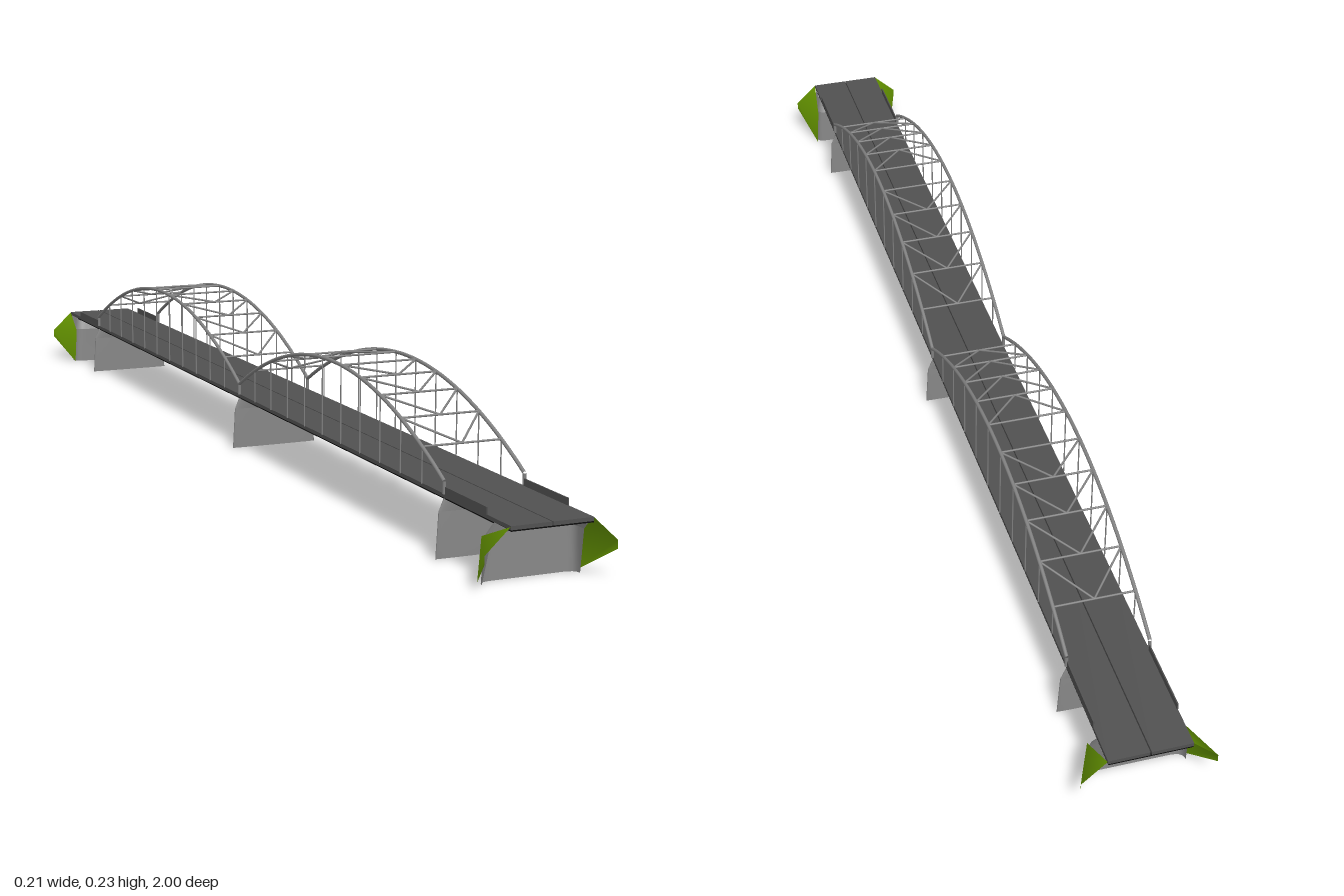
import * as THREE from 'three';

const mat = (name, color, side = THREE.FrontSide) => {
  const m = new THREE.MeshStandardMaterial({ color, side });
  m.name = name;
  return m;
};

// Skin a surface over rows of points; closed joins the last column to the first.
function loft(rows, closed) {
  const n = rows[0].length, index = [];
  for (let r = 0; r < rows.length - 1; r++) {
    for (let i = 0; i < (closed ? n : n - 1); i++) {
      const a = r * n + i, b = r * n + (i + 1) % n;
      index.push(a, a + n, b, b, a + n, b + n);
    }
  }
  const g = new THREE.BufferGeometry();
  g.setAttribute('position', new THREE.Float32BufferAttribute(rows.flat(2), 3));
  g.setIndex(index);
  g.computeVertexNormals();
  return g;
}

export function createModel() {
  const model = new THREE.Group();
  model.name = 'doubleArchBridge';
  const road = mat('road grey', 0x515151);
  const dark = mat('dark underside', 0x0c0c0c);
  const steel = mat('steel', 0x808080);
  const concrete = mat('concrete', 0x888888, THREE.DoubleSide);
  const grass = mat('grass', 0x649300, THREE.DoubleSide);

  const add = (name, geometry, material, parent = model) => {
    const m = new THREE.Mesh(geometry, material);
    m.name = name;
    parent.add(m);
    return m;
  };
  const box = (name, w, h, d, x, y, z, material) =>
    add(name, new THREE.BoxGeometry(w, h, d), material).position.set(x, y, z);
  const beam = (name, a, b, r, parent) => {
    const p = new THREE.Vector3(...a), q = new THREE.Vector3(...b);
    const m = add(name, new THREE.CylinderGeometry(r, r, p.distanceTo(q), 16, 1, true), steel, parent);
    m.position.copy(p).add(q).multiplyScalar(0.5);
    m.quaternion.setFromUnitVectors(new THREE.Vector3(0, 1, 0), q.sub(p).normalize());
  };

  // Deck: two carriageways of panels with a narrow gap between them
  const joints = [-1, -0.645, -0.37, 0, 0.37, 0.645, 1];
  for (const s of [-1, 1]) {
    for (let i = 0; i < joints.length - 1; i++) {
      const a = joints[i], b = joints[i + 1];
      box('deckPanel', 0.0655, 0.006, b - a, s * 0.03375, 0.095, (a + b) / 2, road);
    }
    for (const e of [-1, 1])
      box('approachParapet', 0.002, 0.012, 0.13, s * 0.066, 0.103, e * 0.865, road);
  }
  box('deckUnderside', 0.132, 0.002, 2, 0, 0.091, 0, dark);

  // Two arch spans with hangers and lateral bracing
  const panels = 11, span = 0.8, ribX = 0.067;
  const archY = (z) => 0.228 - 0.111 * ((z - 0.4) / 0.4) ** 2;
  for (const e of [-1, 1]) {
    const arch = new THREE.Group();
    arch.name = 'archSpan';
    model.add(arch);
    for (const s of [-1, 1]) {
      const pts = [];
      for (let i = 0; i <= 22; i++) {
        const z = (i / 22) * span;
        pts.push(new THREE.Vector3(s * ribX, archY(z), e * z));
      }
      add('archRib', new THREE.TubeGeometry(new THREE.CatmullRomCurve3(pts), 44, 0.003, 16), steel, arch);
      for (const z of [0, span])
        beam('ribFoot', [s * ribX, 0.098, e * z], [s * ribX, archY(z), e * z], 0.0028, arch);
    }
    for (let k = 1; k < panels; k++) {
      const z = (k / panels) * span, y = archY(z);
      for (const s of [-1, 1])
        beam('hanger', [s * ribX, 0.097, e * z], [s * ribX, y, e * z], 0.0011, arch);
      beam('crossStrut', [-ribX, y, e * z], [ribX, y, e * z], 0.0017, arch);
      // diagonals rise from the strut centre to the next higher strut
      if (k === 5 || k === 6) continue;
      const z2 = ((k < 5 ? k + 1 : k - 1) / panels) * span;
      for (const s of [-1, 1])
        beam('diagonalBrace', [0, y, e * z], [s * ribX, archY(z2), e * z2], 0.0017, arch);
    }
  }

  // Thin piers with rounded ends and a flared head
  const pierRing = (y, hx, hz) => {
    const ring = [];
    for (let i = 0; i < 32; i++) {
      const t = (i / 32) * Math.PI * 2;
      ring.push([hx * Math.cos(t), y, hz * Math.sin(t)]);
    }
    return ring;
  };
  const foot = pierRing(0, 0.08, 0.0015), neck = pierRing(0.072, 0.076, 0.0035);
  for (const z of [-0.8, 0, 0.8]) {
    const pier = new THREE.Group();
    pier.name = 'pier';
    pier.position.z = z;
    model.add(pier);
    add('pierWall', loft([pierRing(0, 0.001, 0.0005), foot, neck], true), concrete, pier);
    add('pierHead', loft([neck, pierRing(0.091, 0.068, 0.0075)], true), concrete, pier);
  }

  // Abutment: curved retaining wall open towards the land
  const wallRow = (y, hx, front, end) => {
    const half = [[hx, end], [hx, front + 0.014], [hx - 0.002, front + 0.007], [hx - 0.006, front + 0.003], [hx - 0.012, front + 0.001], [hx - 0.02, front]];
    return [
      ...half.map(([x, z]) => [x, y, z]),
      ...half.slice().reverse().map(([x, z]) => [-x, y, z]),
    ];
  };
  const bankPoints = [[0.067, 0.097, 1], [0.107, 0.06, 1], [0.107, 0.047, 1], [0.08, 0, 0.93], [0.0755, 0.068, 0.932]];
  const bankFaces = [[0, 1, 4], [1, 2, 3], [1, 3, 4]];
  for (const e of [1, -1]) {
    const abutment = new THREE.Group();
    abutment.name = 'abutment';
    abutment.rotation.y = e > 0 ? 0 : Math.PI;
    model.add(abutment);
    const low = wallRow(0.07, 0.075, 0.93, 0.96);
    add('retainingWall', loft([wallRow(0, 0.08, 0.93, 0.944), low], false), concrete, abutment);
    add('wallHead', loft([low, wallRow(0.092, 0.067, 0.942, 0.99)], false), concrete, abutment);

    // Grassy bank on each side
    for (const s of [-1, 1]) {
      const bank = new THREE.BufferGeometry();
      bank.setAttribute('position', new THREE.Float32BufferAttribute(bankPoints.flatMap(([x, y, z]) => [s * x, y, z]), 3));
      bank.setIndex(bankFaces.flatMap(([a, b, c]) => (s > 0 ? [a, b, c] : [a, c, b])));
      bank.computeVertexNormals();
      add('grassBank', bank, grass, abutment);
    }
  }
  return model;
}
